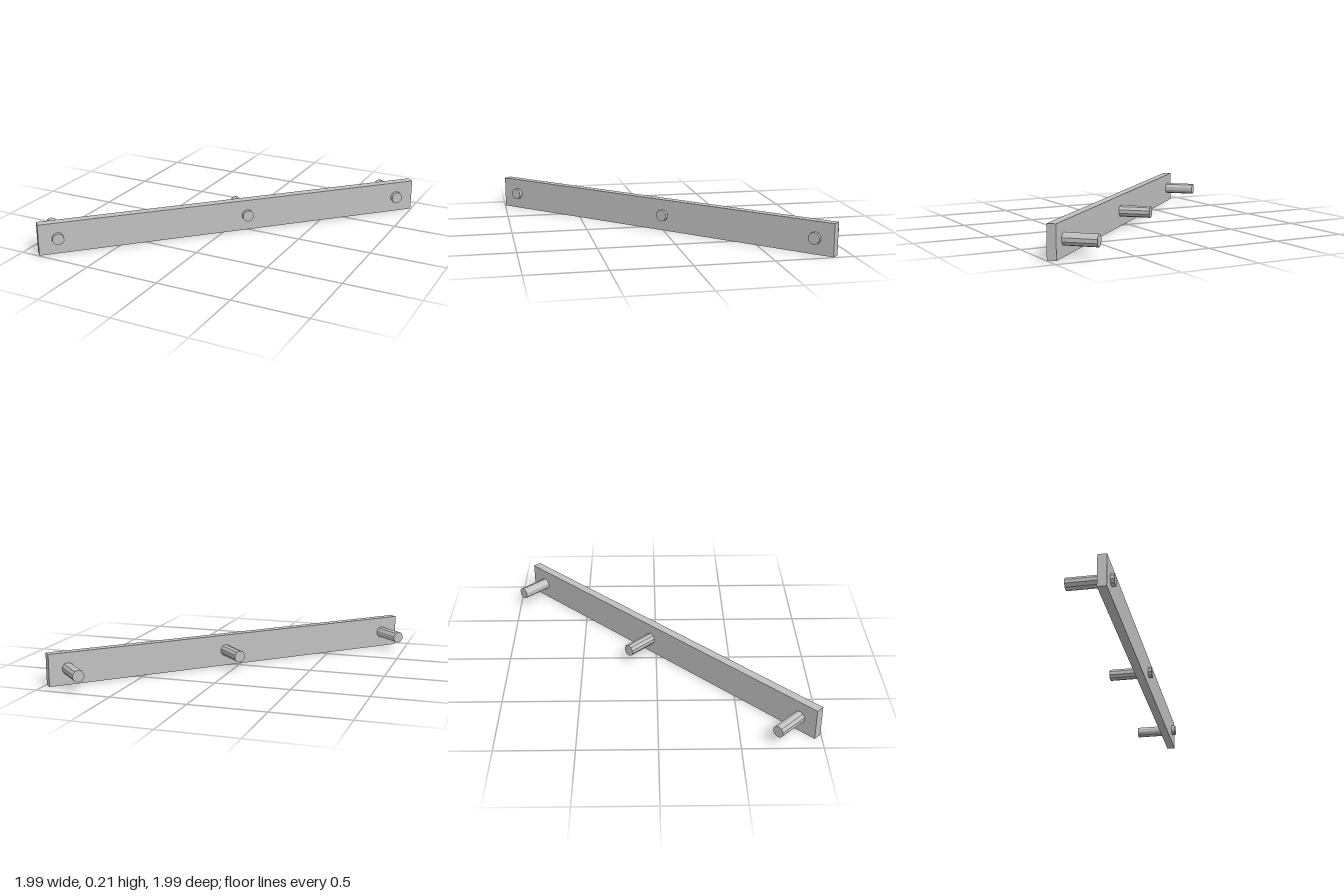
import * as THREE from 'three';

export function createModel() {
  const model = new THREE.Group();
  model.name = 'pegRail';
  const grey = new THREE.MeshStandardMaterial({ color: 0xc0c0c0 });
  grey.name = 'light grey';
  grey.flatShading = true;

  // Rail lies along local x, with its face toward local z
  const rail = new THREE.Group();
  rail.name = 'rail';
  rail.rotation.y = Math.PI / 4;
  model.add(rail);

  const height = 0.21;
  const board = new THREE.Mesh(new THREE.BoxGeometry(2.638, height, 0.057), grey);
  board.name = 'board';
  board.position.set(0, height / 2, 0.06);
  rail.add(board);

  // Pegs pass through the board: a short stub in front, a long one behind
  const back = -0.18, front = 0.113;
  const pegGeometry = new THREE.CylinderGeometry(0.039, 0.039, front - back, 10);
  pegGeometry.rotateX(Math.PI / 2);
  [['rightPeg', -1.195], ['middlePeg', 0.085], ['leftPeg', 1.195]].forEach(([name, x]) => {
    const peg = new THREE.Mesh(pegGeometry, grey);
    peg.name = name;
    peg.position.set(x, height / 2, (front + back) / 2);
    rail.add(peg);
  });

  return model;
}
